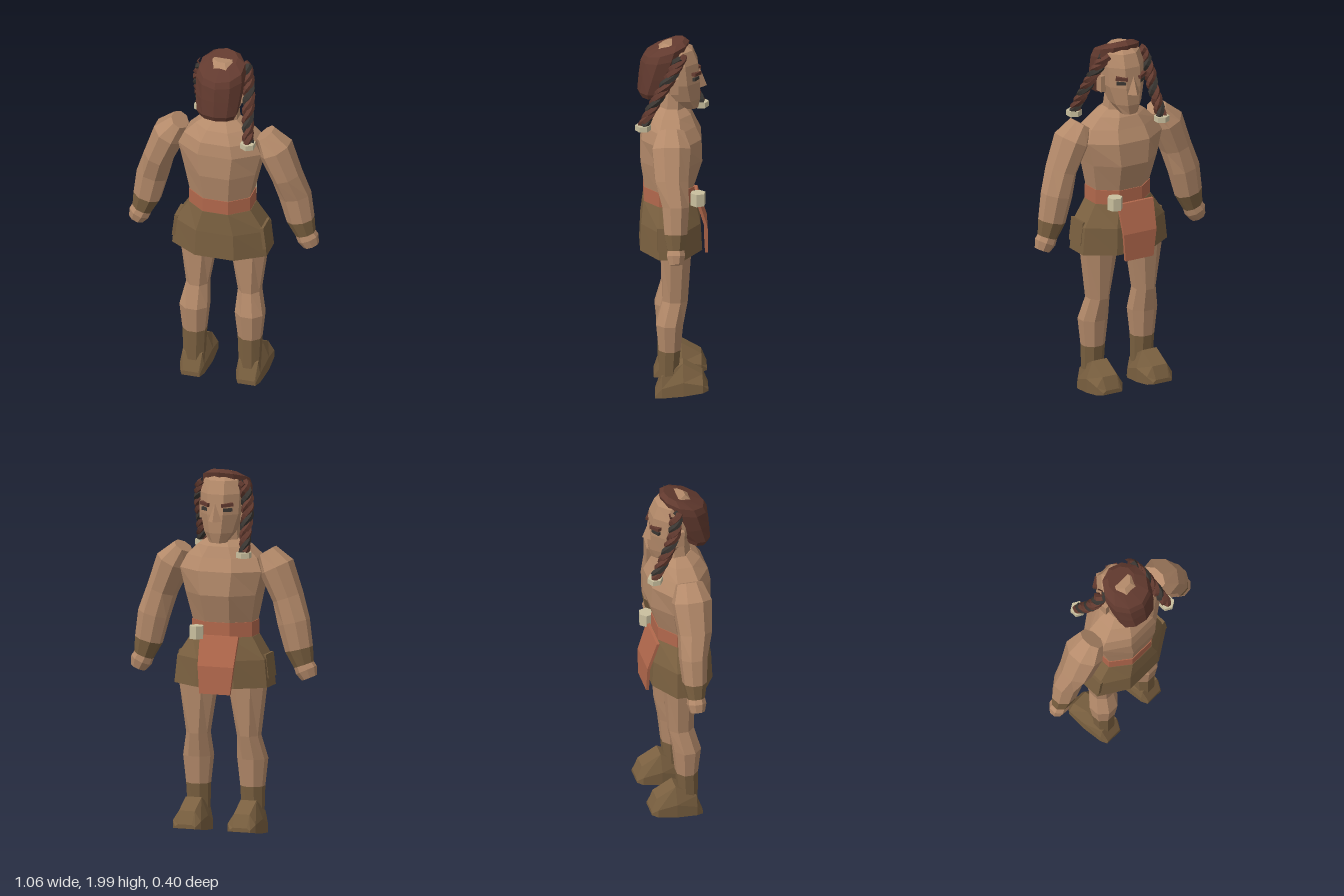
import * as THREE from 'three';

const mat = (name, color) => Object.assign(new THREE.MeshStandardMaterial({ color }), { name });

export function createModel() {
  const root = new THREE.Group();
  root.name = 'figure';
  const skin = mat('skin', 0xb48a6a), leather = mat('leather', 0x7a6040), hairMat = mat('hair', 0x623a2f);
  const cloth = mat('cloth', 0xb2684c), bone = mat('bone', 0xc9bf9e), dark = mat('dark strand', 0x3a3632);

  // Faceted mesh from any geometry
  const add = (name, geo, m, x = 0, y = 0, z = 0) => {
    const g = geo.index ? geo.toNonIndexed() : geo;
    g.computeVertexNormals();
    const mesh = new THREE.Mesh(g, m);
    mesh.name = name;
    mesh.position.set(x, y, z);
    root.add(mesh);
    return mesh;
  };

  // Skin a list of equal-length rings and cap both ends
  const loft = (rings) => {
    const n = rings[0].length, pos = [], idx = [];
    rings.forEach(r => r.forEach(p => pos.push(p.x, p.y, p.z)));
    for (let i = 0; i < rings.length - 1; i++) {
      for (let j = 0; j < n; j++) {
        const k = (j + 1) % n, a = i * n + j, b = a + n, c = (i + 1) * n + k, d = i * n + k;
        idx.push(a, b, c, a, c, d);
      }
    }
    const last = (rings.length - 1) * n;
    for (let j = 1; j < n - 1; j++) {
      idx.push(0, j, j + 1, last, last + j + 1, last + j);
    }
    const g = new THREE.BufferGeometry();
    g.setAttribute('position', new THREE.Float32BufferAttribute(pos, 3));
    g.setIndex(idx);
    return g;
  };

  // Level ring; tilt lowers the back and raises the front
  const ring = (n, [y, cz, rx, rz, tilt = 0], cx = 0) => Array.from({ length: n }, (_, j) => {
    const a = (j + 0.5) / n * Math.PI * 2, k = 1 / Math.cos(Math.PI / n);
    const z = Math.sin(a) * rz * k;
    return new THREE.Vector3(cx + Math.cos(a) * rx * k, y - z * tilt, cz + z);
  });
  const stack = (n, rows) => loft(rows.map(r => ring(n, r)));

  // Trunk
  add('torso', stack(8, [
    [1.17, 0.012, 0.168, 0.132], [1.32, 0, 0.2, 0.166], [1.45, 0, 0.232, 0.162],
    [1.52, 0.01, 0.2, 0.14], [1.58, 0.005, 0.14, 0.11], [1.62, 0, 0.085, 0.07]]), skin);
  add('neck', stack(8, [[1.58, -0.005, 0.09, 0.075], [1.72, -0.01, 0.075, 0.065]]), skin);
  add('belt', stack(8, [[1.08, 0.012, 0.172, 0.136], [1.17, 0.012, 0.172, 0.136]]), cloth);
  add('skirt', stack(8, [
    [0.82, 0.002, 0.265, 0.167], [0.97, 0.003, 0.25, 0.16], [1.09, 0.012, 0.174, 0.138]]), leather);

  // Hanging front cloth: bends outward, then drops
  const panelRow = (y, z, x0, x1) => [[x0, z], [x0, z + 0.016], [x1, z + 0.016], [x1, z]]
    .map(([x, pz]) => new THREE.Vector3(x, y, pz)).reverse();
  add('frontCloth', loft([
    panelRow(0.79, -0.197, -0.1, 0.075), panelRow(0.94, -0.195, -0.12, 0.085),
    panelRow(1.1, -0.145, -0.13, 0.09)]), cloth);
  const buckle = add('beltToggle', new THREE.CylinderGeometry(0.042, 0.042, 0.07, 6), bone, 0.11, 1.115, -0.142);
  buckle.rotation.y = 0.3;

  // Head and face
  add('head', stack(8, [
    [1.605, -0.105, 0.045, 0.04], [1.66, -0.065, 0.08, 0.09], [1.76, -0.035, 0.108, 0.12],
    [1.87, -0.025, 0.112, 0.118], [1.94, -0.02, 0.095, 0.095], [1.975, -0.01, 0.05, 0.05]]), skin);
  add('nose', new THREE.ConeGeometry(0.038, 0.1, 4), skin, 0, 1.775, -0.155);
  add('mouth', new THREE.BoxGeometry(0.05, 0.008, 0.008), dark, 0, 1.68, -0.143);
  add('hairCap', stack(10, [
    [1.68, 0.105, 0.095, 0.06], [1.71, 0.108, 0.11, 0.07], [1.8, 0.075, 0.122, 0.094],
    [1.9, 0.04, 0.128, 0.118, 0.2], [1.945, 0.025, 0.12, 0.118, 0.3],
    [1.975, -0.005, 0.075, 0.065, 0.35]]), hairMat);

  // Limbs and facial features, mirrored
  const armRows = [
    [0.24, 1.553, 0.05, 0.07], [0.295, 1.47, 0.09, 0.105], [0.36, 1.31, 0.08, 0.09],
    [0.4, 1.18, 0.085, 0.073], [0.43, 1.035, 0.074, 0.062], [0.458, 0.95, 0.054, 0.046],
    [0.472, 0.922, 0.058, 0.05], [0.49, 0.88, 0.042, 0.038]];
  const legRows = [
    [0.9, -0.02, 0.105, 0.085, 0.14], [0.82, -0.025, 0.1, 0.078, 0.14], [0.55, -0.018, 0.06, 0.068, 0.145],
    [0.42, 0.012, 0.078, 0.073, 0.155], [0.27, 0.012, 0.063, 0.058, 0.155], [0.06, 0.02, 0.055, 0.048, 0.155]];
  const footRows = [ // z, bottom, top, half width low, half width high
    [0.09, 0.004, 0.03, 0.05, 0.045], [0.055, 0.01, 0.13, 0.068, 0.055], [-0.06, 0.025, 0.2, 0.082, 0.045],
    [-0.165, 0.042, 0.14, 0.08, 0.045], [-0.195, 0.048, 0.07, 0.058, 0.04]];

  for (const s of [1, -1]) {
    const side = s > 0 ? 'left' : 'right';
    const armRings = armRows.map(([x, y, r, rz], i) => {
      const p = armRows[Math.max(i - 1, 0)], q = armRows[Math.min(i + 1, armRows.length - 1)];
      const dir = new THREE.Vector3(s * (q[0] - p[0]), q[1] - p[1], 0).normalize();
      const u = dir.cross(new THREE.Vector3(0, 0, 1));
      return Array.from({ length: 8 }, (_, j) => {
        const a = (j + 0.5) / 8 * Math.PI * 2, k = 1.06;
        return new THREE.Vector3(s * x, y, i < 3 ? 0.005 : -0.015)
          .addScaledVector(u, Math.cos(a) * r * k).add(new THREE.Vector3(0, 0, Math.sin(a) * rz * k));
      });
    });
    add(side + 'Arm', loft(armRings.slice(0, 5)), skin);
    add(side + 'Cuff', loft(armRings.slice(4, 6)), leather);
    add(side + 'Hand', loft(armRings.slice(5)), skin);

    const legRings = legRows.map(r => ring(8, r, s * r[4] )).map((pts, i) => {
      const [y] = legRows[i];
      pts.forEach(p => { p.y = y; });
      return pts;
    }).reverse();
    add(side + 'Leg', loft(legRings.slice(1)), skin);
    add(side + 'BootShaft', loft(legRings.slice(0, 2)), leather);
    add(side + 'Boot', loft(footRows.map(([z, b, t, w, h]) => {
      const m = b + (t - b) * 0.45;
      return [[w, b], [w, m], [h, t], [-h, t], [-w, m], [-w, b]]
        .map(([x, y]) => new THREE.Vector3(s * 0.157 + x, y, z));
    })), leather);

    const flap = add(side + 'SkirtFlap', new THREE.BoxGeometry(0.02, 0.13, 0.12), leather, s * 0.247, 0.93, 0.02);
    flap.rotation.z = s * 0.12;
    add(side + 'Ear', new THREE.BoxGeometry(0.03, 0.09, 0.045), skin, s * 0.118, 1.765, -0.015);
    const brow = add(side + 'Brow', new THREE.BoxGeometry(0.065, 0.018, 0.025), hairMat, s * 0.062, 1.815, -0.135);
    const eye = add(side + 'Eye', new THREE.BoxGeometry(0.05, 0.018, 0.02), dark, s * 0.062, 1.788, -0.13);
    brow.rotation.set(0, -s * 0.55, s * 0.1);
    eye.rotation.y = -s * 0.55;
  }

  // Braids: three strands wound round a path, one swept back and one swept forward
  const braids = {
    left: [[0.11, 1.93, -0.05], [0.145, 1.82, 0.01], [0.165, 1.69, 0.09], [0.185, 1.565, 0.155]],
    right: [[-0.115, 1.93, -0.035], [-0.15, 1.82, -0.055], [-0.16, 1.69, -0.105], [-0.17, 1.565, -0.165]]
  };
  for (const [side, pts] of Object.entries(braids)) {
    const path = new THREE.CatmullRomCurve3(pts.map(p => new THREE.Vector3(...p)));
    for (let k = 0; k < 3; k++) {
      const strand = [];
      for (let i = 0; i <= 24; i++) {
        const t = i / 24, a = t * Math.PI * 6 + k * Math.PI * 2 / 3, r = 0.021 - 0.007 * t;
        strand.push(path.getPoint(t).add(new THREE.Vector3(Math.cos(a) * r, 0, Math.sin(a) * r)));
      }
      add(side + 'BraidStrand' + (k + 1),
        new THREE.TubeGeometry(new THREE.CatmullRomCurve3(strand), 28, 0.019, 5), k ? hairMat : dark);
    }
    const [x, , z] = pts[3];
    add(side + 'BraidTie', new THREE.CylinderGeometry(0.042, 0.042, 0.03, 6), bone, x, 1.555, z);
  }
  return root;
}
